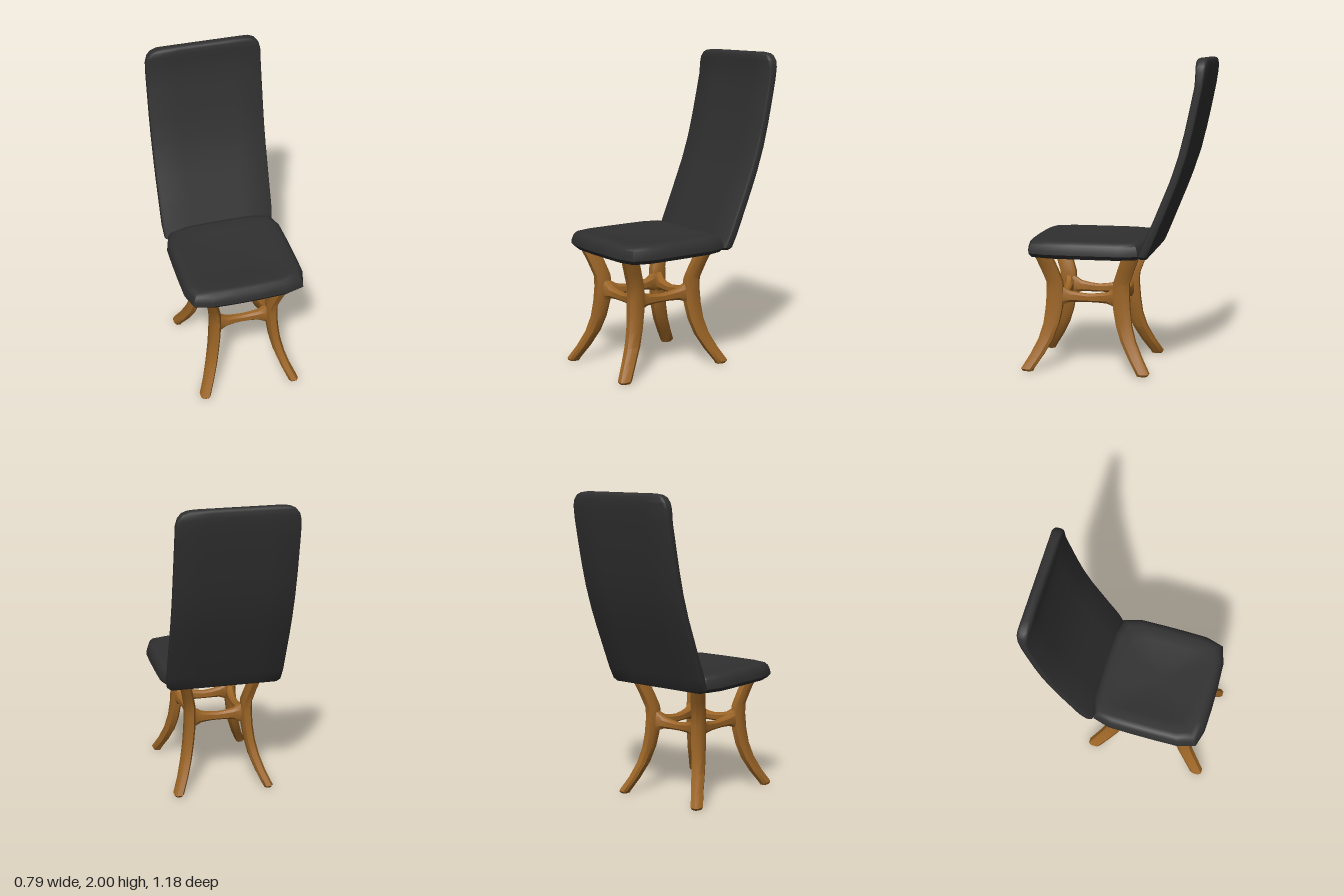
import * as THREE from 'three';
import { toCreasedNormals } from 'three/addons/utils/BufferGeometryUtils.js';

const MID_Z = 0.175; // centre of the seat and leg frame

// Mirror one quarter of an outline into a closed loop
function mirrorQuarter(q) {
  const r = [...q].reverse();
  return [
    ...q,
    ...r.map(([a, b]) => [-a, b]),
    ...q.map(([a, b]) => [-a, -b]),
    ...r.map(([a, b]) => [a, -b]),
  ];
}

// Skin a stack of equal-sized loops and close both ends
function loft(rings, crease) {
  const n = rings[0].length, pos = [], idx = [];
  rings.forEach(ring => ring.forEach(p => pos.push(...p)));
  const cap = ring => {
    pos.push(...[0, 1, 2].map(k => ring.reduce((s, p) => s + p[k], 0) / n));
    return pos.length / 3 - 1;
  };
  const c0 = cap(rings[0]), c1 = cap(rings[rings.length - 1]);
  const last = (rings.length - 1) * n;
  for (let j = 0; j < n; j++) {
    const k = (j + 1) % n;
    for (let o = 0; o < last; o += n) {
      idx.push(o + j, o + n + j, o + k, o + k, o + n + j, o + n + k);
    }
    idx.push(c0, j, k, c1, last + k, last + j);
  }
  const g = new THREE.BufferGeometry();
  g.setAttribute('position', new THREE.Float32BufferAttribute(pos, 3));
  g.setIndex(idx);
  return toCreasedNormals(g, crease);
}

export function createModel() {
  const model = new THREE.Group();
  const leather = new THREE.MeshStandardMaterial({ color: 0x303030 });
  const wood = new THREE.MeshStandardMaterial({ color: 0x9c6526 });

  const add = (name, geometry, material, parent = model) => {
    const mesh = new THREE.Mesh(geometry, material);
    mesh.name = name;
    parent.add(mesh);
    return mesh;
  };

  // Seat cushion: bulging rim, shallow dip on top; rows are [height, scale]
  const seatOutline = mirrorQuarter([
    [0.393, 0.08], [0.39, 0.235], [0.357, 0.348], [0.245, 0.38], [0.08, 0.386],
  ]);
  const seatRows = [
    [0.732, 0.3], [0.738, 0.8], [0.75, 0.95], [0.775, 1], [0.8, 0.995],
    [0.835, 0.965], [0.853, 0.92], [0.858, 0.85], [0.85, 0.65], [0.839, 0.4], [0.835, 0.15],
  ];
  add('seat', loft(seatRows.map(([y, s]) =>
    seatOutline.map(([x, z]) => [x * s, y, MID_Z + z * s])), 0.7), leather);

  // Backrest: rows are [height, front z, back z, half width]
  const backSection = mirrorQuarter([[1, 0.35], [0.99, 0.75], [0.955, 1], [0.5, 1]]);
  const backRows = [
    [0.757, -0.185, -0.228, 0.35], [0.775, -0.175, -0.24, 0.372],
    [0.85, -0.207, -0.272, 0.38], [1, -0.272, -0.333, 0.381],
    [1.14, -0.33, -0.39, 0.382], [1.25, -0.375, -0.432, 0.382],
    [1.4, -0.425, -0.481, 0.382], [1.55, -0.463, -0.518, 0.382],
    [1.7, -0.495, -0.55, 0.381], [1.83, -0.522, -0.576, 0.38],
    [1.91, -0.526, -0.588, 0.378], [1.95, -0.526, -0.592, 0.367],
    [1.98, -0.528, -0.591, 0.343], [1.993, -0.534, -0.587, 0.315],
    [2, -0.545, -0.577, 0.27],
  ];
  add('backrest', loft(backRows.map(([y, f, b, w]) =>
    backSection.map(([x, z]) => [x * w, y, (f + b) / 2 + z * (f - b) / 2])), 0.7), leather);

  // Legs: rows are [height, x, z from centre, half width, half depth]
  const octagon = mirrorQuarter([[1, 0.5], [0.55, 1]]);
  const legRows = [
    [0, 0.302, 0.372, 0.024, 0.032], [0.015, 0.302, 0.375, 0.032, 0.041],
    [0.1, 0.264, 0.322, 0.032, 0.044], [0.2, 0.23, 0.27, 0.034, 0.047],
    [0.3, 0.208, 0.238, 0.034, 0.05], [0.4, 0.195, 0.222, 0.035, 0.054],
    [0.5, 0.19, 0.216, 0.035, 0.053], [0.57, 0.192, 0.218, 0.035, 0.052],
    [0.66, 0.212, 0.25, 0.034, 0.053], [0.77, 0.242, 0.293, 0.033, 0.054],
  ];
  const frame = new THREE.Group();
  frame.name = 'legFrame';
  frame.position.z = MID_Z;
  model.add(frame);
  for (const sz of [1, -1]) {
    for (const sx of [1, -1]) {
      const name = (sz > 0 ? 'front' : 'back') + (sx > 0 ? 'Left' : 'Right') + 'Leg';
      add(name, loft(legRows.map(([y, x, z, w, d]) =>
        octagon.map(([a, b]) => [sx * x + a * w, y, sz * z + b * d])), 0.6), wood, frame);
    }
  }

  // Stretchers: slim in the middle, flared into the legs, bowed slightly inward
  const flare = [[-1, 0.41, 0.565], [-0.78, 0.417, 0.533], [-0.56, 0.434, 0.505],
    [-0.25, 0.437, 0.493], [0, 0.437, 0.488]];
  const stations = [...flare, ...flare.slice(0, -1).reverse().map(([t, a, b]) => [-t, a, b])];
  const stretcher = (half, bow) => loft(stations.map(([t, lo, hi]) =>
    octagon.map(([a, b]) => [
      t * half,
      (lo + hi) / 2 + a * (hi - lo) / 2,
      -bow * (1 - t * t) - b * (0.024 + 0.008 * t * t),
    ])), 0.6);
  const sides = [
    ['frontStretcher', 0.19, 0, 0, 0.215], ['backStretcher', 0.19, Math.PI, 0, -0.215],
    ['leftStretcher', 0.216, Math.PI / 2, 0.19, 0], ['rightStretcher', 0.216, -Math.PI / 2, -0.19, 0],
  ];
  for (const [name, half, turn, x, z] of sides) {
    const mesh = add(name, stretcher(half, 0.025), wood, frame);
    mesh.rotation.y = turn;
    mesh.position.set(x, 0, z);
  }

  return model;
}
